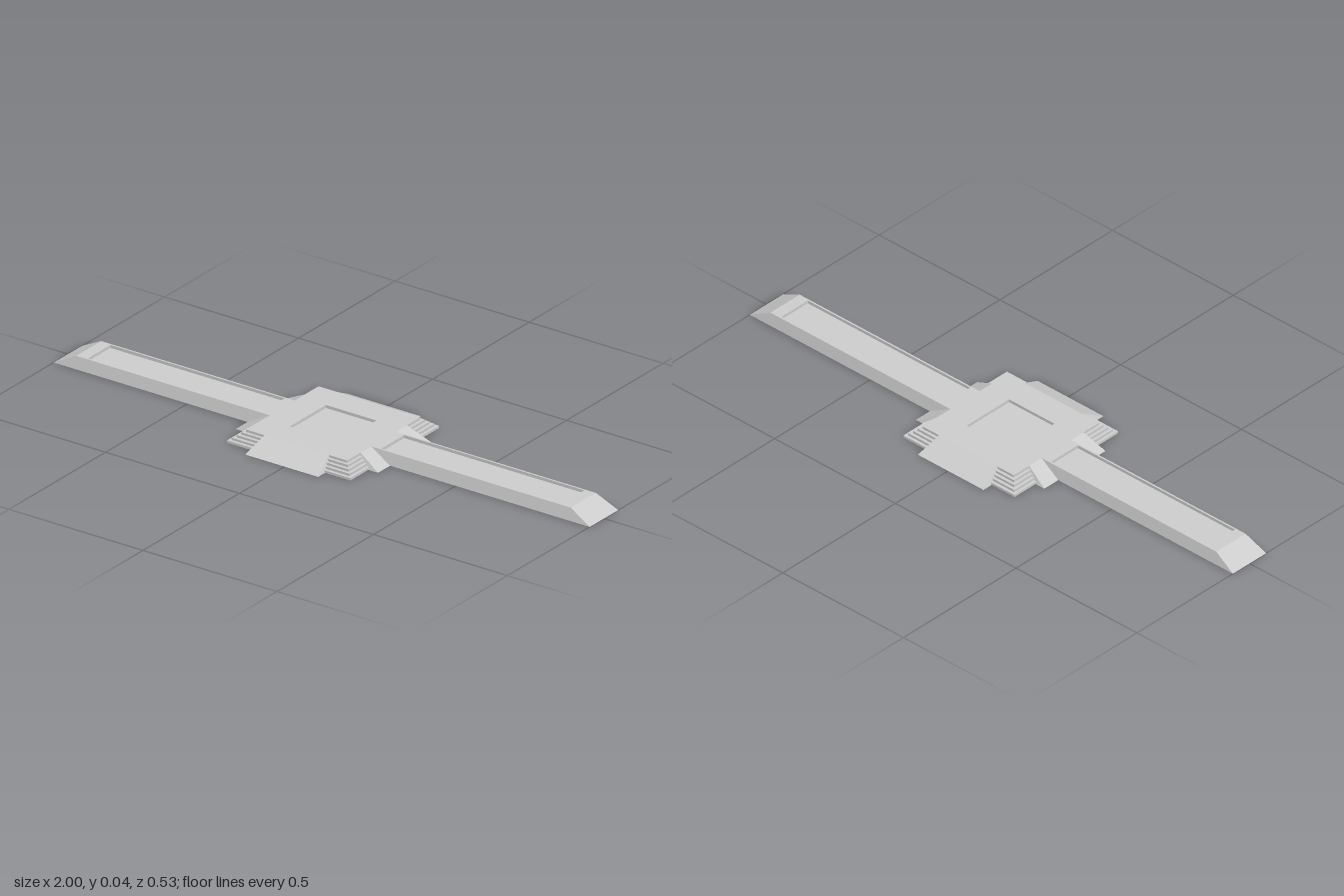
import * as THREE from 'three';

const material = new THREE.MeshStandardMaterial({ color: 0xcccccc, flatShading: true });
const H = 0.04;            // overall height
const CX = -0.011;         // platform centre in x
const RECESS = 0.01;       // depth of the sunken panels

// Rectangular loop at height y
const rect = (x0, x1, z0, z1, y) => [[x0, y, z1], [x1, y, z1], [x1, y, z0], [x0, y, z0]];

// Skin a stack of rectangular loops, capping the first (facing down) and last (facing up)
function loft(name, loops) {
  const pos = [];
  const quad = (a, b, c, d) => pos.push(...a, ...b, ...c, ...a, ...c, ...d);
  const first = loops[0], last = loops[loops.length - 1];
  quad(first[3], first[2], first[1], first[0]);
  quad(...last);
  for (let i = 0; i < loops.length - 1; i++) {
    const lo = loops[i], hi = loops[i + 1];
    for (let k = 0; k < 4; k++) {
      const n = (k + 1) % 4;
      quad(lo[k], lo[n], hi[n], hi[k]);
    }
  }
  const geometry = new THREE.BufferGeometry();
  geometry.setAttribute('position', new THREE.Float32BufferAttribute(pos, 3));
  geometry.computeVertexNormals();
  const mesh = new THREE.Mesh(geometry, material);
  mesh.name = name;
  return mesh;
}

// Stepped square platform with a sunken square in its top
function createPlatform() {
  const steps = 5, loops = [];
  const square = (h, y) => rect(CX - h, CX + h, -h, h, y);
  for (let i = 0; i < steps; i++) {
    const half = THREE.MathUtils.lerp(0.23, 0.189, i / (steps - 1));
    loops.push(square(half, (H * i) / steps), square(half, (H * (i + 1)) / steps));
  }
  loops.push(square(0.094, H), square(0.094, H - RECESS));
  return loft('steppedPlatform', loops);
}

// Flared ramp pointing along +z, turned to its side of the platform
function createRamp(name, turn) {
  const ramp = loft(name, [
    rect(-0.136, 0.136, 0.17, 0.266, 0),
    rect(-0.12, 0.12, 0.17, 0.189, H),
  ]);
  ramp.position.x = CX;
  ramp.rotation.y = turn;
  return ramp;
}

// Long arm with sloping sides, a bevelled tip and a sunken channel
function createArm(name, side) {
  const inner = 0.186 + side * CX;      // meets the edge of the platform top
  const channel = 0.223 + side * CX;
  const span = (a, b, z, y) => side > 0 ? rect(a, b, -z, z, y) : rect(-b, -a, -z, z, y);
  return loft(name, [
    span(inner, 1, 0.074, 0),
    span(inner, 0.923, 0.065, H),
    span(channel, 0.884, 0.059, H),
    span(channel, 0.884, 0.059, H - RECESS),
  ]);
}

export function createModel() {
  const model = new THREE.Group();
  model.name = 'platformWithArms';
  model.add(createPlatform());
  ['frontRamp', 'leftRamp', 'backRamp', 'rightRamp'].forEach((name, i) =>
    model.add(createRamp(name, (i * Math.PI) / 2)));
  model.add(createArm('leftArm', 1), createArm('rightArm', -1));
  return model;
}
